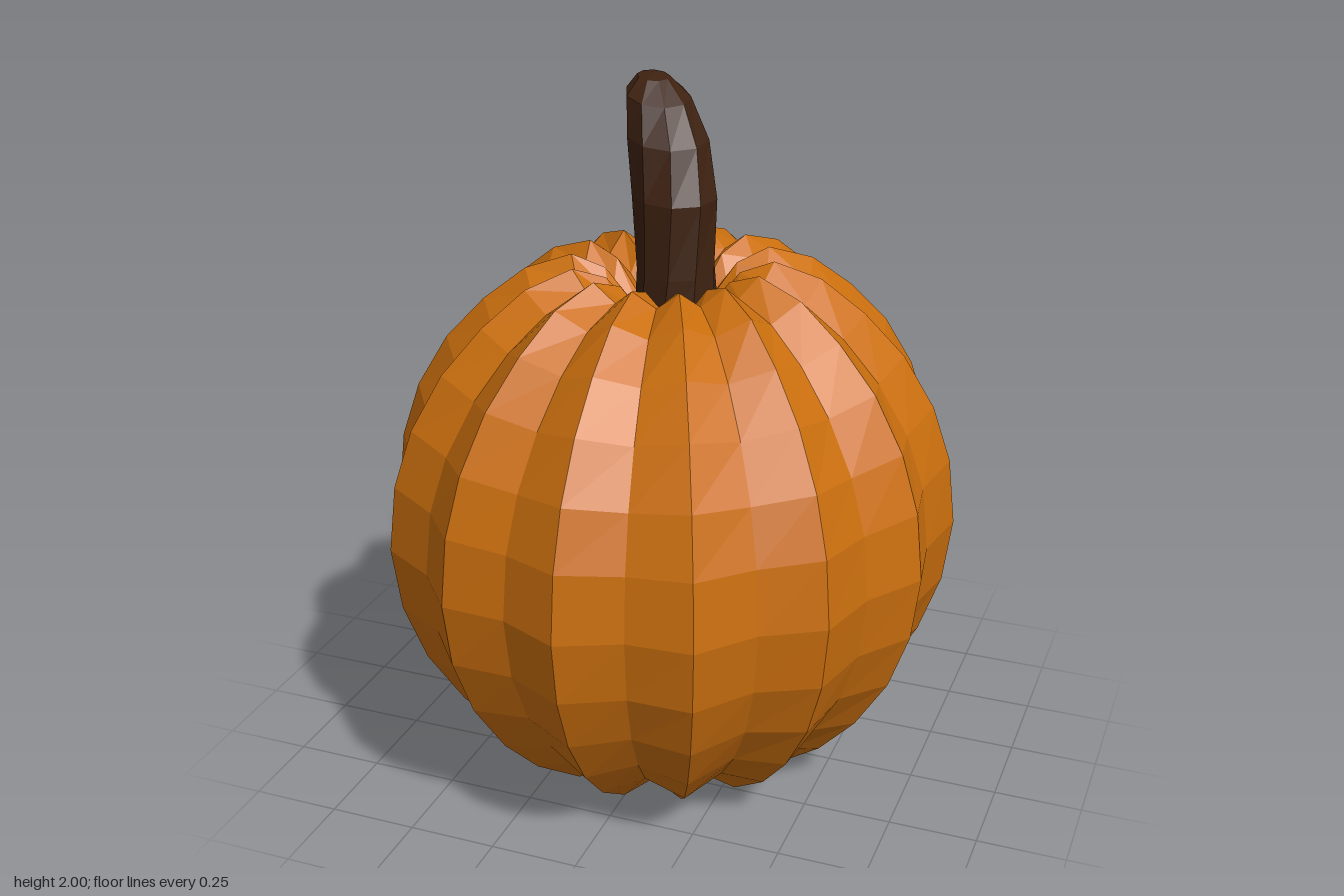
import * as THREE from 'three';

const LOBES = 14;
const WIDTH_SCALE = 0.935; // body is slightly narrower across x

// Skins a stack of equal-length rings, listed from bottom to top, with flat facets
function loft(rings) {
  const n = rings[0].length;
  const index = [];
  for (let i = 0; i < rings.length - 1; i++) {
    for (let j = 0; j < n; j++) {
      const k = (j + 1) % n;
      const a = i * n + j, b = i * n + k, c = b + n, d = a + n;
      index.push(a, b, c, a, c, d);
    }
  }
  const geometry = new THREE.BufferGeometry().setFromPoints(rings.flat());
  geometry.setIndex(index);
  const flat = geometry.toNonIndexed();
  flat.computeVertexNormals();
  return flat;
}

// Ribbed body: each row is [ridge radius, ridge y, groove radius, groove y]
function bodyGeometry() {
  const profile = [
    [0.004, 0.19, 0.004, 0.19],
    [0.12, 0.15, 0.10, 0.18],
    [0.21, 0.055, 0.19, 0.11],
    [0.29, 0.01, 0.27, 0.06],
    [0.39, 0.0, 0.36, 0.05],
    [0.55, 0.11, 0.51, 0.15],
    [0.67, 0.235, 0.62, 0.265],
    [0.775, 0.395, 0.72, 0.41],
    [0.84, 0.565, 0.785, 0.57],
    [0.865, 0.75, 0.81, 0.75],
    [0.842, 0.94, 0.788, 0.93],
    [0.785, 1.1, 0.732, 1.08],
    [0.69, 1.25, 0.64, 1.22],
    [0.57, 1.37, 0.53, 1.335],
    [0.44, 1.465, 0.41, 1.42],
    [0.3, 1.51, 0.28, 1.46],
    [0.2, 1.475, 0.185, 1.42],
    [0.12, 1.38, 0.105, 1.35],
    [0.004, 1.33, 0.004, 1.33],
  ];
  const columns = LOBES * 2;
  return loft(profile.map(([ridgeR, ridgeY, grooveR, grooveY]) =>
    Array.from({ length: columns }, (_, j) => {
      const a = (j / columns) * Math.PI * 2;
      const r = j % 2 ? grooveR : ridgeR;
      return new THREE.Vector3(Math.sin(a) * r * WIDTH_SCALE, j % 2 ? grooveY : ridgeY, Math.cos(a) * r);
    })));
}

// Bent, slightly twisted stalk: each row is [x, y, z, radius, tilt]
function stemGeometry() {
  const sections = [
    [0.015, 1.32, 0.005, 0.12, 0],
    [0.015, 1.48, 0.005, 0.11, 0],
    [0.005, 1.69, -0.008, 0.118, 0.05],
    [-0.03, 1.84, -0.045, 0.113, 0.1],
    [-0.068, 1.945, -0.07, 0.09, 0.15],
    [-0.088, 1.99, -0.088, 0.045, 0.1],
    [-0.09, 1.997, -0.09, 0.003, 0],
  ];
  const sides = 9;
  return loft(sections.map(([x, y, z, r, tilt], i) =>
    Array.from({ length: sides }, (_, j) => {
      const a = (j / sides) * Math.PI * 2 + i * 0.14;
      const dx = Math.sin(a) * r, dz = Math.cos(a) * r;
      return new THREE.Vector3(x + dx, y - (dx + dz) * tilt, z + dz);
    })));
}

export function createModel() {
  const orange = new THREE.MeshStandardMaterial({ color: 0xcb6f0e, flatShading: true });
  orange.name = 'pumpkin orange';
  const brown = new THREE.MeshStandardMaterial({ color: 0x3d2110, flatShading: true });
  brown.name = 'stem brown';

  const model = new THREE.Group();
  model.name = 'pumpkin';

  const body = new THREE.Mesh(bodyGeometry(), orange);
  body.name = 'ribbedBody';
  const stem = new THREE.Mesh(stemGeometry(), brown);
  stem.name = 'stem';
  model.add(body, stem);
  return model;
}
